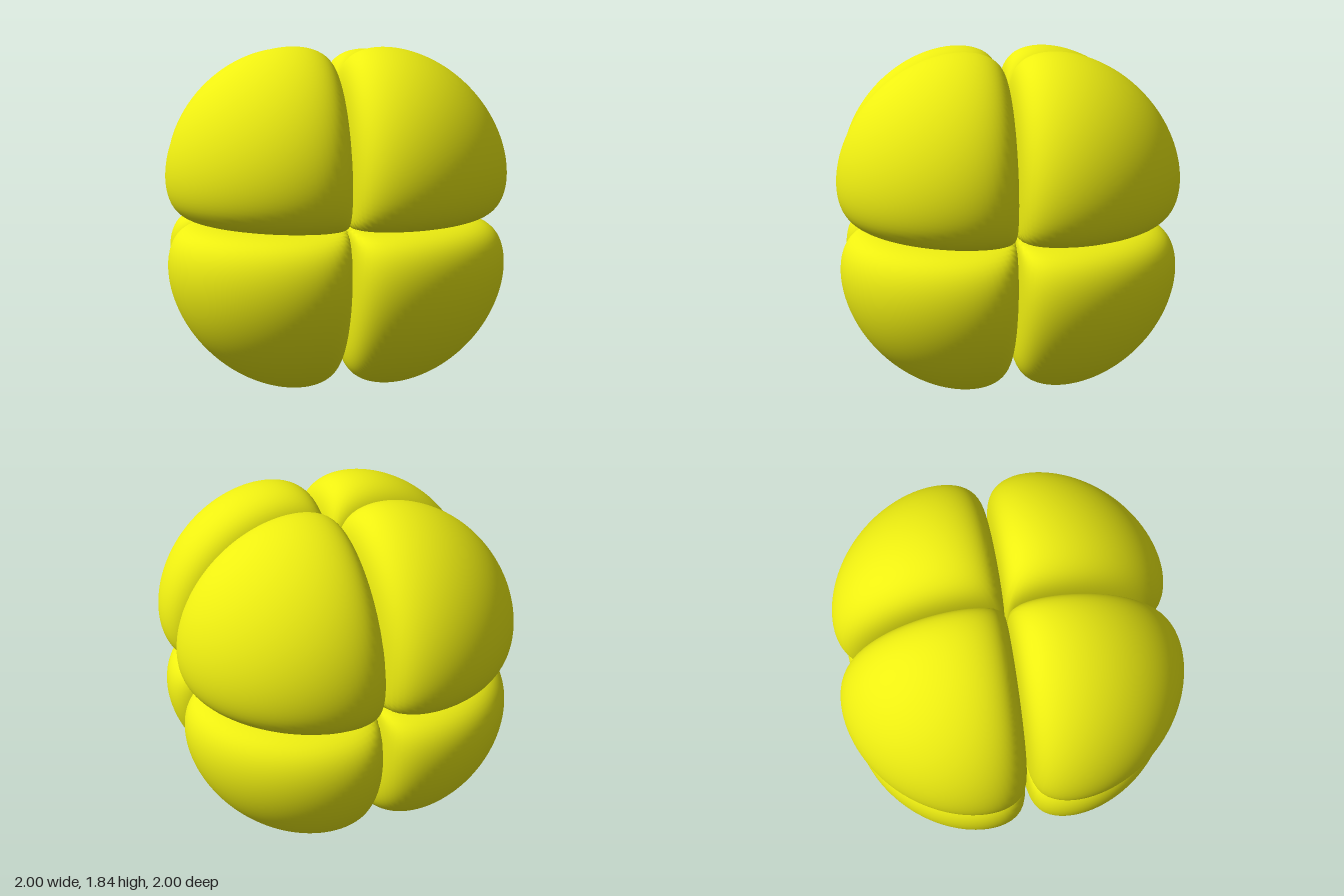
import * as THREE from 'three';

// Each lobe is the convex region where ln(y * (x^2 - z^2)) - K * r > LEVEL.
const K = 17, LEVEL = -18.91, MID = 0.92;

const field = (p) => (p.y <= 0 || p.x <= Math.abs(p.z))
  ? -Infinity
  : Math.log(p.y * (p.x * p.x - p.z * p.z)) - K * p.length();

// Push every vertex of a sphere out from inside the lobe to its surface.
function lobeGeometry() {
  const geometry = new THREE.SphereGeometry(1, 104, 72);
  const pos = geometry.attributes.position, nor = geometry.attributes.normal;
  const core = new THREE.Vector3(0.5, 0.42, 0);
  const dir = new THREE.Vector3(), p = new THREE.Vector3(), n = new THREE.Vector3();
  for (let i = 0; i < pos.count; i++) {
    dir.fromBufferAttribute(pos, i).normalize();
    let near = 0, far = 1.6;
    for (let s = 0; s < 40; s++) {
      const t = (near + far) / 2;
      if (field(p.copy(core).addScaledVector(dir, t)) > LEVEL) near = t;
      else far = t;
    }
    p.copy(core).addScaledVector(dir, near);
    pos.setXYZ(i, p.x, p.y, p.z);
    // Smooth outward normal from the gradient of the field
    const q = Math.max(p.x * p.x - p.z * p.z, 1e-12), k = K / p.length();
    n.set(k * p.x - 2 * p.x / q, k * p.y - 1 / Math.max(p.y, 1e-12), k * p.z + 2 * p.z / q).normalize();
    nor.setXYZ(i, n.x, n.y, n.z);
  }
  return geometry;
}

export function createModel() {
  const model = new THREE.Group();
  model.name = 'eightLobes';
  const geometry = lobeGeometry();
  const material = new THREE.MeshStandardMaterial({ color: 0xeeee11 });
  const sides = ['left', 'back', 'right', 'front'];

  // Four lobes around the axis above the middle plane, four turned over below
  for (const upper of [true, false]) {
    const ring = new THREE.Group();
    ring.name = upper ? 'upperLobes' : 'lowerLobes';
    ring.position.y = MID;
    if (!upper) ring.rotation.x = Math.PI;
    for (let i = 0; i < 4; i++) {
      const lobe = new THREE.Mesh(geometry, material);
      // Turning over swaps front and back
      lobe.name = sides[upper ? i : (4 - i) % 4] + (upper ? 'UpperLobe' : 'LowerLobe');
      lobe.rotation.y = i * Math.PI / 2;
      ring.add(lobe);
    }
    model.add(ring);
  }
  return model;
}
